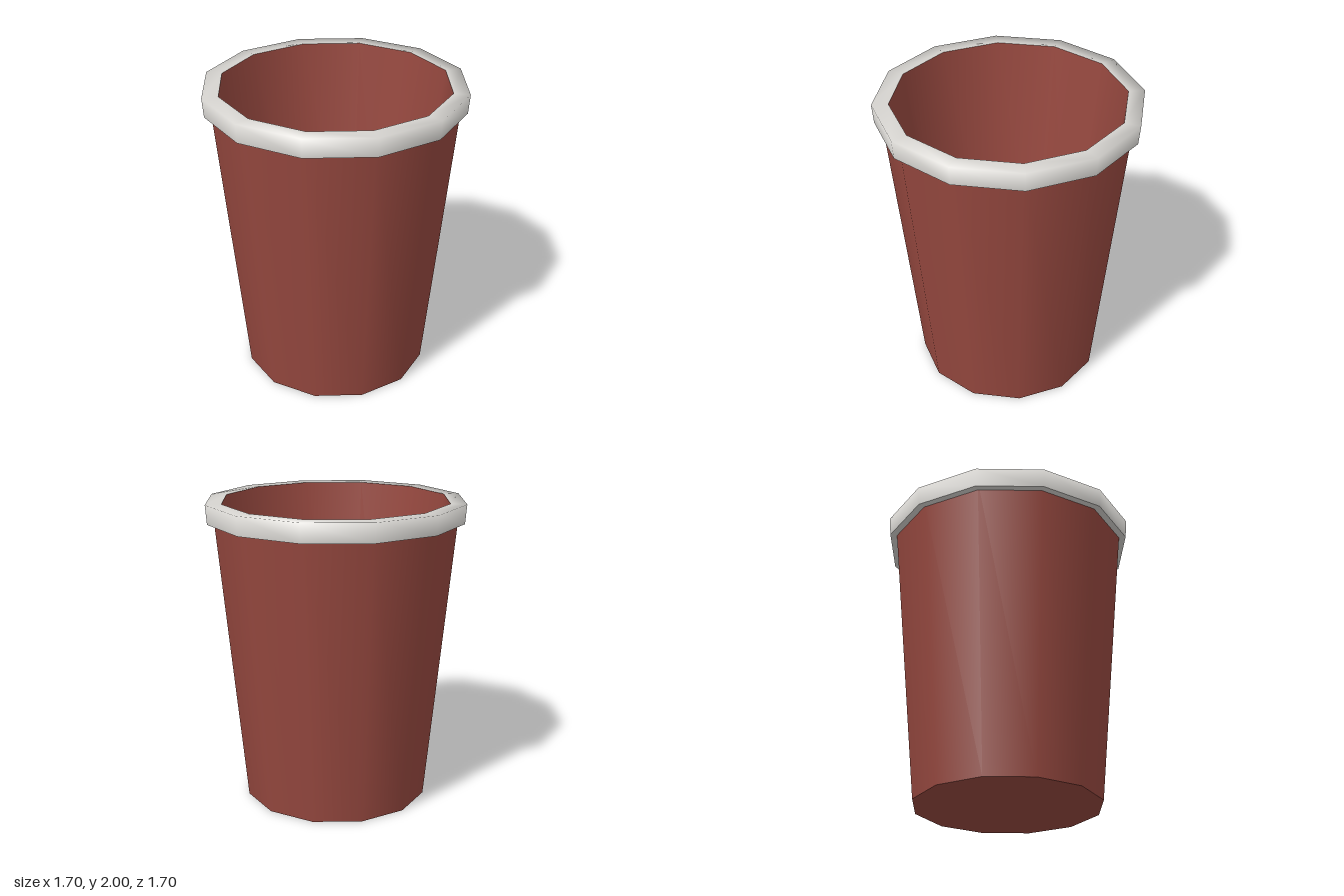
import * as THREE from 'three';

const SIDES = 12;

export function createModel() {
  const model = new THREE.Group();
  model.name = 'cup';

  const red = new THREE.MeshStandardMaterial({ color: 0x96483f });
  red.name = 'brick red';
  const grey = new THREE.MeshStandardMaterial({ color: 0xd6d4d0 });
  grey.name = 'pale grey';

  // Turned surface; each profile runs so that its front faces the open side
  function turned(name, material, profile) {
    const points = profile.map(([r, y]) => new THREE.Vector2(r, y));
    const mesh = new THREE.Mesh(new THREE.LatheGeometry(points, SIDES), material);
    mesh.name = name;
    model.add(mesh);
  }

  // Tapered body, separate profiles keep the edges between them sharp
  turned('base', red, [[0, 0], [0.615, 0]]);
  turned('outerWall', red, [[0.615, 0], [0.8, 1.94]]);
  turned('innerWall', red, [[0.745, 2], [0.515, 0.08]]);
  turned('innerFloor', red, [[0.515, 0.08], [0, 0.08]]);

  // Rolled rim, smooth from its side over to its top
  turned('rimUnderside', grey, [[0.79, 1.875], [0.84, 1.875]]);
  turned('rim', grey, [[0.84, 1.875], [0.85, 2], [0.745, 2]]);

  return model;
}
